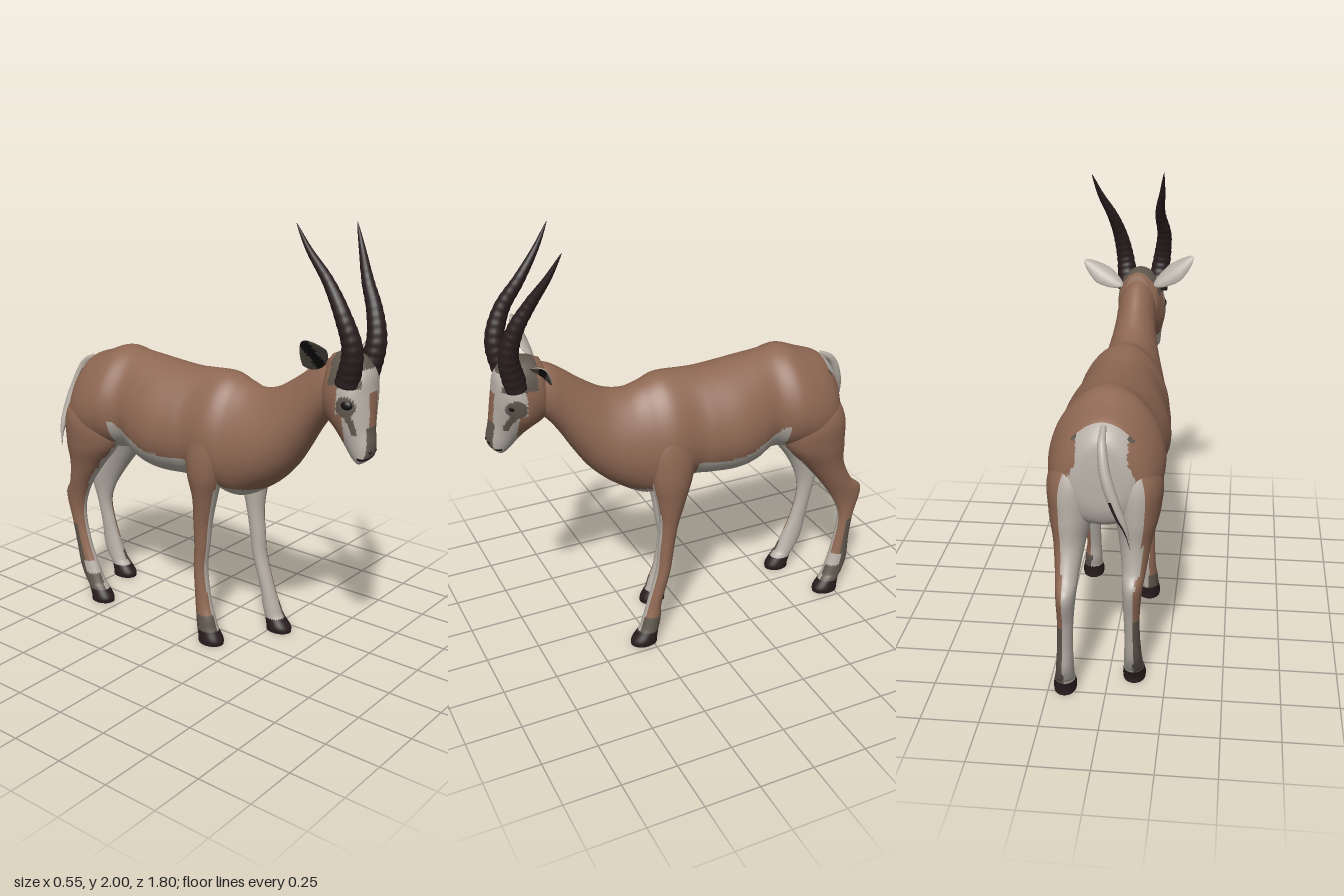
import * as THREE from 'three';
import { mergeVertices } from 'three/addons/utils/BufferGeometryUtils.js';

const mat = (name, color) => Object.assign(new THREE.MeshStandardMaterial({ color }), { name });
const materials = [
  mat('tan coat', 0x8f6853), mat('cream', 0xb6afa6), mat('taupe', 0x5f574d),
  mat('dark horn', 0x291d1e), mat('black', 0x151212),
];
const [TAN, CREAM, TAUPE, DARK, BLACK] = [0, 1, 2, 3, 4];

// Sort the faces into material groups by a rule on face centre and normal
function paint(geo, rule) {
  const { position } = geo.attributes, idx = geo.index.array;
  const buckets = materials.map(() => []);
  const a = new THREE.Vector3(), b = new THREE.Vector3(), c = new THREE.Vector3();
  const n = new THREE.Vector3(), p = new THREE.Vector3();
  for (let i = 0; i < idx.length; i += 3) {
    const f = [idx[i], idx[i + 1], idx[i + 2]];
    [a, b, c].forEach((v, k) => v.fromBufferAttribute(position, f[k]));
    p.copy(a).add(b).add(c).divideScalar(3);
    n.crossVectors(b.clone().sub(a), c.clone().sub(a)).normalize();
    buckets[rule(p, n)].push(...f);
  }
  geo.setIndex(buckets.flat());
  let start = 0;
  buckets.forEach((bk, m) => {
    if (bk.length) geo.addGroup(start, bk.length, m);
    start += bk.length;
  });
  return geo;
}

// Smooth skin over oval sections: [z, y of top/front, z, y of bottom/back, centre x, half width]
// pear narrows the top of each section and widens its bottom
function loft(sections, radial, steps, pear = 0) {
  const upper = new THREE.CatmullRomCurve3(sections.map(s => new THREE.Vector3(s[4], s[1], s[0])), false, 'catmullrom');
  const lower = new THREE.CatmullRomCurve3(sections.map(s => new THREE.Vector3(s[5], s[3], s[2])), false, 'catmullrom');
  const rings = (sections.length - 1) * steps, pos = [], index = [];
  for (let i = 0; i <= rings; i++) {
    const u = upper.getPoint(i / rings), l = lower.getPoint(i / rings);
    const cy = (u.y + l.y) / 2, cz = (u.z + l.z) / 2;
    for (let j = 0; j < radial; j++) {
      const t = j / radial * Math.PI * 2, k = Math.cos(t);
      pos.push(u.x + l.x * Math.sin(t) * (1 - pear * k), cy + (u.y - cy) * k, cz + (u.z - cz) * k);
      if (i === rings) continue;
      const p = i * radial + j, q = i * radial + (j + 1) % radial;
      index.push(p, p + radial, q, q, p + radial, q + radial);
    }
  }
  // End caps
  [0, rings].forEach((r, e) => {
    const u = upper.getPoint(e), l = lower.getPoint(e), centre = pos.length / 3;
    pos.push(u.x, (u.y + l.y) / 2, (u.z + l.z) / 2);
    for (let j = 0; j < radial; j++) {
      const p = r * radial + j, q = r * radial + (j + 1) % radial;
      index.push(centre, e ? q : p, e ? p : q);
    }
  });
  const geo = new THREE.BufferGeometry();
  geo.setAttribute('position', new THREE.Float32BufferAttribute(pos, 3));
  geo.setIndex(index);
  geo.computeVertexNormals();
  return geo;
}

// Tube whose radius follows a rule along its length
function taperedTube(points, radius, segs, radial) {
  const curve = new THREE.CatmullRomCurve3(points.map(p => new THREE.Vector3(...p)));
  let geo = new THREE.TubeGeometry(curve, segs, 1, radial);
  const pos = geo.attributes.position, v = new THREE.Vector3();
  for (let i = 0; i < pos.count; i++) {
    const t = Math.floor(i / (radial + 1)) / segs, c = curve.getPointAt(t);
    v.fromBufferAttribute(pos, i).sub(c).multiplyScalar(radius(t)).add(c);
    pos.setXYZ(i, v.x, v.y, v.z);
  }
  geo.deleteAttribute('uv');
  geo.deleteAttribute('normal');
  geo = mergeVertices(geo, 1e-5);
  geo.computeVertexNormals();
  return geo;
}

// Trunk and neck, rump to nape
const BODY = [
  [-.775, 1.1, -.78, 1.0, .01, .04], [-.755, 1.19, -.775, .88, .01, .12], [-.69, 1.25, -.73, .81, .01, .195],
  [-.6, 1.285, -.62, .8, .01, .235], [-.5, 1.32, -.5, .82, .01, .238], [-.4, 1.31, -.4, .83, .01, .206],
  [-.3, 1.3, -.3, .785, .01, .228], [-.2, 1.29, -.2, .77, .01, .24], [-.08, 1.285, -.08, .775, .01, .223],
  [0, 1.29, 0, .78, .01, .206], [.12, 1.295, .1, .76, .01, .212], [.2, 1.27, .22, .735, .01, .196],
  [.28, 1.25, .36, .81, .005, .173], [.38, 1.27, .46, .9, 0, .142], [.48, 1.33, .53, 1.0, 0, .115],
  [.56, 1.39, .59, 1.1, 0, .098], [.62, 1.43, .64, 1.17, 0, .092], [.68, 1.45, .69, 1.22, -.005, .085],
];
function bodyRule(p, n) {
  const x = Math.abs(p.x - .01);
  if (p.z < -.7 && x < .13 && p.y > 1.17) return x > .105 ? TAUPE : CREAM;
  if (p.z < -.7 && (x < .105 || n.z < -.88)) return CREAM;
  if (p.z < -.45) return p.y < .88 ? CREAM : TAN;
  if (p.z < .01) return p.y < .9 + Math.max(0, -.2 - p.z) * .42 ? CREAM : TAN;
  return p.y < .8 && p.z < .37 ? CREAM : TAN;
}

// Head, nape to muzzle
const HEAD = [
  [.665, 1.465, .64, 1.31, 0, .055], [.72, 1.485, .64, 1.22, -.005, .093], [.8, 1.48, .665, 1.185, -.01, .11],
  [.855, 1.42, .69, 1.17, -.015, .118], [.87, 1.34, .715, 1.155, -.022, .112], [.88, 1.26, .745, 1.125, -.035, .088],
  [.888, 1.19, .775, 1.09, -.045, .068], [.9, 1.13, .805, 1.055, -.052, .056], [.897, 1.085, .835, 1.035, -.056, .045],
  [.88, 1.06, .855, 1.04, -.056, .02],
];
function headRule(p, n) {
  const x = Math.abs(p.x + .012 + (1.4 - p.y) * .14);
  if (p.y > 1.43) return p.z > .69 ? TAUPE : TAN;
  // Mouth line
  if (p.z > .85 && p.y > 1.062 && p.y < 1.072) return BLACK;
  if (n.z > .45 && p.z > .8 && x < .07) {
    if (p.y < 1.2) return x < .04 && p.y > 1.072 ? TAUPE : CREAM;
    return p.y < 1.34 && x < .03 ? TAN : CREAM;
  }
  // Eye patch and the line from it to the mouth
  if (Math.hypot(p.z - .8, p.y - 1.285) < .042) return TAUPE;
  if (Math.abs(p.z - .795 - (1.29 - p.y) * .4) < .014 && p.y > 1.17 && p.y < 1.29) return TAUPE;
  if (p.y > 1.36 && p.z > .7) return TAUPE;
  return p.z < (p.y < 1.25 ? .79 : .755) && p.y > 1.13 ? TAN : CREAM;
}

// Legs, from inside the trunk down to the hoof
const LEGS = {
  frontLeftLeg: [
    [.19, 1.14, .05, 1.14, .12, .055], [.24, 1.0, .0, 1.0, .15, .077], [.23, .85, .03, .85, .168, .074],
    [.205, .73, .07, .72, .172, .058], [.19, .6, .105, .6, .168, .045], [.2, .48, .125, .48, .167, .039],
    [.213, .36, .145, .36, .168, .037], [.26, .2, .19, .2, .17, .036], [.288, .12, .2, .12, .175, .042],
    [.305, .075, .212, .075, .178, .045], [.345, .025, .222, .025, .18, .053], [.35, 0, .222, 0, .18, .05]],
  frontRightLeg: [
    [.17, 1.14, .03, 1.14, -.1, .055], [.21, 1.0, -.02, 1.0, -.128, .077], [.18, .85, 0, .85, -.143, .071],
    [.14, .73, .02, .72, -.13, .056], [.107, .6, .015, .6, -.12, .044], [.09, .48, .015, .48, -.115, .038],
    [.075, .36, .01, .36, -.113, .036], [.1, .2, .02, .2, -.116, .036], [.128, .12, .03, .12, -.12, .041],
    [.142, .075, .035, .075, -.12, .045], [.17, .025, .045, .025, -.12, .052], [.173, 0, .045, 0, -.12, .05]],
  hindLeftLeg: [
    [-.52, 1.2, -.68, 1.18, .08, .05], [-.465, 1.0, -.77, 1.0, .14, .102], [-.47, .86, -.785, .84, .147, .098],
    [-.58, .73, -.79, .72, .15, .07], [-.67, .62, -.84, .61, .152, .052], [-.75, .5, -.903, .54, .152, .041],
    [-.785, .4, -.865, .4, .156, .034], [-.765, .28, -.845, .28, .162, .033], [-.735, .18, -.837, .17, .167, .037],
    [-.705, .1, -.81, .1, .172, .041], [-.69, .075, -.79, .075, .175, .044],
    [-.652, .025, -.78, .025, .178, .05], [-.65, 0, -.78, 0, .178, .048]],
  hindRightLeg: [
    [-.52, 1.2, -.68, 1.18, -.06, .05], [-.465, 1.0, -.765, 1.0, -.12, .102], [-.47, .86, -.775, .84, -.125, .098],
    [-.57, .73, -.765, .72, -.122, .07], [-.65, .62, -.78, .61, -.12, .052], [-.7, .5, -.815, .54, -.115, .041],
    [-.705, .4, -.785, .4, -.112, .034], [-.675, .28, -.76, .28, -.112, .033], [-.632, .18, -.737, .17, -.112, .037],
    [-.595, .1, -.7, .1, -.112, .041], [-.575, .075, -.68, .075, -.112, .044],
    [-.54, .025, -.66, .025, -.112, .05], [-.537, 0, -.66, 0, -.112, .048]],
};
const legRule = (side, hind) => (p, n) => {
  if (p.y < .065) return DARK;
  const out = n.x * side;
  if (p.y < .14) return out > .1 ? TAUPE : CREAM;
  if (hind && p.y > .55 && n.z < -.8) return CREAM;
  if (out < .3 && !(p.y > .84 && Math.abs(p.x) > .12)) return CREAM;
  if (!hind || p.y > .38) return TAN;
  if (p.y < .2) return n.z > 0 ? CREAM : TAUPE;
  return n.z < .1 ? TAUPE : TAN;
};

// Leaf-shaped ear from base to tip, dark inside and pale behind
function ear(base, tip) {
  const a = new THREE.Vector3(...base), b = new THREE.Vector3(...tip);
  const geo = new THREE.SphereGeometry(1, 24, 18), pos = geo.attributes.position;
  for (let i = 0; i < pos.count; i++) {
    const y = pos.getY(i), x = pos.getX(i);
    pos.setXYZ(i, x * .056 * (y > 0 ? 1 - .3 * y : 1 + .2 * y), y, pos.getZ(i) * .011 + x * x * .018);
  }
  const along = b.clone().sub(a), up = along.clone().normalize();
  const across = new THREE.Vector3().crossVectors(up, new THREE.Vector3(0, -.75, .66)).normalize();
  const facing = new THREE.Vector3().crossVectors(across, up);
  const centre = a.add(b).multiplyScalar(.5);
  geo.applyMatrix4(new THREE.Matrix4().makeBasis(across, along.multiplyScalar(.5), facing).setPosition(centre));
  geo.computeVertexNormals();
  return paint(geo, (p, n) => {
    if (n.dot(facing) < .2) return CREAM;
    return Math.abs(p.sub(centre).dot(across)) < .018 ? BLACK : TAUPE;
  });
}

export function createModel() {
  const model = new THREE.Group();
  const add = (name, geo, material = materials) => {
    const mesh = new THREE.Mesh(geo, material);
    mesh.name = name;
    model.add(mesh);
    return mesh;
  };

  add('body', paint(loft(BODY, 80, 10, .17), bodyRule));
  add('head', paint(loft(HEAD, 64, 10), headRule));
  for (const [name, sections] of Object.entries(LEGS)) {
    const side = name.includes('Left') ? 1 : -1;
    add(name, paint(loft(sections, 32, 8), legRule(side, name.startsWith('hind'))));
  }

  // Ears
  add('leftEar', ear([.075, 1.41, .675], [.27, 1.525, .73]));
  add('rightEar', ear([-.085, 1.42, .66], [-.275, 1.567, .685]));

  // Ringed horns
  const hornRadius = t => .052 * Math.pow(1.001 - t, .75) * (1 + (t < .7 ? .025 * Math.sin(t * 120) : 0));
  add('leftHorn', taperedTube([[.055, 1.37, .785], [.073, 1.52, .815], [.095, 1.64, .787], [.127, 1.75, .73],
    [.18, 1.87, .665], [.215, 1.975, .615]], hornRadius, 90, 18), materials[DARK]);
  add('rightHorn', taperedTube([[-.09, 1.37, .785], [-.112, 1.52, .815], [-.125, 1.65, .775], [-.11, 1.78, .69],
    [-.125, 1.9, .605], [-.135, 2.0, .55]], hornRadius, 90, 18), materials[DARK]);

  // Eyes and nostrils
  for (const s of [1, -1]) {
    const eye = add(s > 0 ? 'leftEye' : 'rightEye', new THREE.SphereGeometry(.028, 16, 12), materials[BLACK]);
    eye.position.set(-.024 + s * .096, 1.292, .803);
    eye.scale.set(.7, .8, 1);
    const nostril = add(s > 0 ? 'leftNostril' : 'rightNostril', new THREE.SphereGeometry(.009, 10, 8), materials[BLACK]);
    nostril.position.set(-.055 + s * .02, 1.1, .892);
  }

  // Tail with a dark tuft on one side
  add('tail', paint(taperedTube([[.005, 1.235, -.71], [.003, 1.19, -.785], [-.015, 1.08, -.835], [-.06, .95, -.86],
    [-.1, .85, -.86], [-.115, .77, -.852]],
  t => .012 + .011 * Math.sin(Math.PI * Math.min(1, t * 1.1)) - .042 * Math.max(0, t - .75), 48, 16),
  (p, n) => p.y < .98 && n.x > .1 ? DARK : CREAM));

  return model;
}
